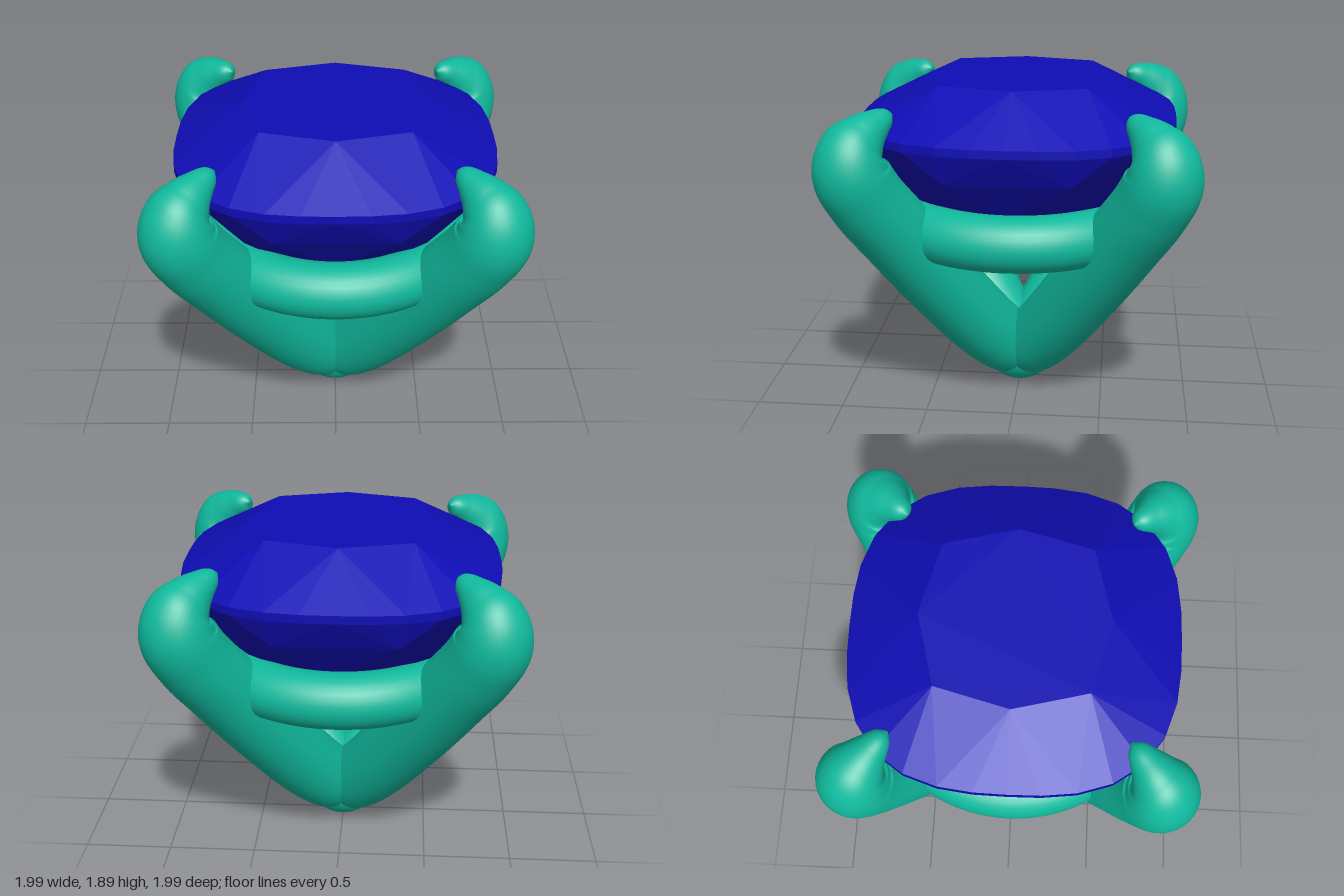
import * as THREE from 'three';
import { ConvexGeometry } from 'three/addons/geometries/ConvexGeometry.js';

const metal = new THREE.MeshStandardMaterial({ color: 0x10b89c });
const stone = new THREE.MeshStandardMaterial({ color: 0x0f0db4 });

function addMesh(parent, name, geometry, material) {
  const mesh = new THREE.Mesh(geometry, material);
  mesh.name = name;
  parent.add(mesh);
  return mesh;
}

// Round tube of varying radius; each path point is (outward distance, height, radius)
function taperedTube(path, steps, sides) {
  const curve = new THREE.CatmullRomCurve3(path.map((p) => new THREE.Vector3(...p)));
  const pos = [], index = [];
  for (let i = 0; i <= steps; i++) {
    const c = curve.getPoint(i / steps);
    const t = curve.getTangent(i / steps).setZ(0).normalize();
    const r = Math.max(c.z, 0.004);
    for (let j = 0; j < sides; j++) {
      const a = (j / sides) * Math.PI * 2;
      const n = r * Math.cos(a);
      pos.push(c.x - t.y * n, c.y + t.x * n, r * Math.sin(a));
      if (i === steps) continue;
      const k = (j + 1) % sides, s = i * sides;
      index.push(s + j, s + k, s + sides + k, s + j, s + sides + k, s + sides + j);
    }
  }
  // Close the tip
  const last = steps * sides;
  for (let j = 1; j < sides - 1; j++) index.push(last, last + j, last + j + 1);
  const g = new THREE.BufferGeometry();
  g.setAttribute('position', new THREE.Float32BufferAttribute(pos, 3));
  g.setIndex(index);
  g.computeVertexNormals();
  return g;
}

// Cushion-cut stone: the hull of its facet corners
function gemGeometry() {
  const points = [new THREE.Vector3(0, 0.8, 0)];
  const addRing = (count, half, y, power, offset = 0) => {
    for (let i = 0; i < count; i++) {
      const a = ((i + offset) / count) * Math.PI * 2;
      const c = Math.cos(a), s = Math.sin(a);
      const r = half / Math.pow(Math.abs(c) ** power + Math.abs(s) ** power, 1 / power);
      points.push(new THREE.Vector3(r * c, y, r * s));
    }
  };
  addRing(8, 0.6, 1.2, 2.4);         // lower pavilion
  addRing(8, 0.82, 1.46, 2.6, 0.5);  // upper pavilion
  addRing(32, 0.88, 1.63, 2.8);      // girdle
  addRing(32, 0.88, 1.675, 2.8);
  addRing(8, 0.5, 1.89, 3.0);        // table
  return new ConvexGeometry(points);
}

export function createModel() {
  const model = new THREE.Group();
  model.name = 'gemSetting';

  addMesh(model, 'gem', gemGeometry(), stone);

  // Ring that ties the prongs together under the stone
  const ring = new THREE.TorusGeometry(0.72, 0.153, 28, 96);
  ring.rotateX(Math.PI / 2);
  addMesh(model, 'supportRing', ring, metal).position.y = 1.125;

  // Rounded foot where the prongs meet
  const foot = addMesh(model, 'foot', new THREE.SphereGeometry(0.225, 40, 28), metal);
  foot.position.y = 0.22;
  foot.scale.y = 0.22 / 0.225;

  // Four claw prongs on the diagonals, hooked over the stone
  const prong = taperedTube([
    [0, 0.17, 0.15], [0.09, 0.25, 0.19], [0.26, 0.41, 0.205], [0.59, 0.79, 0.21],
    [0.87, 1.14, 0.21], [1.05, 1.37, 0.205], [1.125, 1.52, 0.2], [1.105, 1.63, 0.175],
    [1.045, 1.695, 0.13], [0.965, 1.745, 0.085], [0.9, 1.775, 0.05], [0.865, 1.785, 0.006],
  ], 88, 36);
  for (let i = 0; i < 4; i++) {
    addMesh(model, 'prong' + (i + 1), prong, metal).rotation.y = Math.PI / 4 + (i * Math.PI) / 2;
  }
  return model;
}
